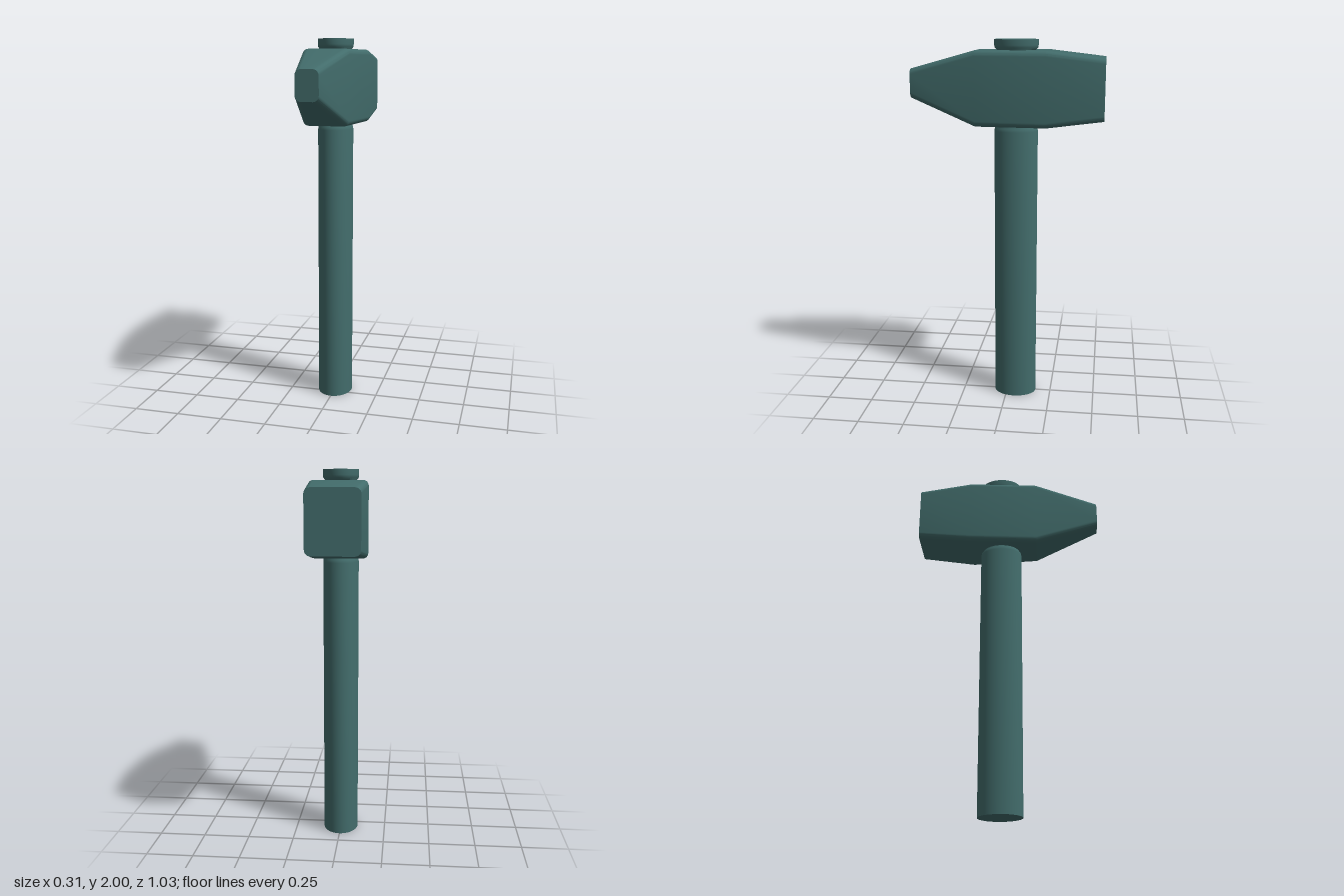
import * as THREE from 'three';
import { toCreasedNormals } from 'three/addons/utils/BufferGeometryUtils.js';

const material = new THREE.MeshStandardMaterial({ color: 0x426c6b });

// Counter-clockwise rounded rectangle outline in the xy plane
function roundedSection(halfWidth, bottom, top, radius, steps) {
  const corners = [
    [halfWidth - radius, top - radius],
    [-halfWidth + radius, top - radius],
    [-halfWidth + radius, bottom + radius],
    [halfWidth - radius, bottom + radius],
  ];
  const points = [];
  corners.forEach(([cx, cy], q) => {
    for (let i = 0; i <= steps; i++) {
      const a = (q + i / steps) * Math.PI / 2;
      points.push([cx + radius * Math.cos(a), cy + radius * Math.sin(a)]);
    }
  });
  return points;
}

// Skin a row of sections from back to front, closed at both ends
function loft(sections) {
  const positions = [], indices = [];
  const rings = sections.map(([z, hw, bottom, top]) =>
    roundedSection(hw, bottom, top, 0.03, 6).map(([x, y]) => [x, y, z]));
  const n = rings[0].length;
  rings.forEach(ring => ring.forEach(p => positions.push(...p)));
  for (let r = 0; r < rings.length - 1; r++) {
    for (let i = 0; i < n; i++) {
      const j = (i + 1) % n, a = r * n, b = a + n;
      indices.push(a + i, a + j, b + j, a + i, b + j, b + i);
    }
  }
  const last = (rings.length - 1) * n;
  for (let i = 1; i < n - 1; i++) {
    indices.push(0, i + 1, i);
    indices.push(last, last + i, last + i + 1);
  }
  const geometry = new THREE.BufferGeometry();
  geometry.setAttribute('position', new THREE.Float32BufferAttribute(positions, 3));
  geometry.setIndex(indices);
  return toCreasedNormals(geometry, 0.28);
}

export function createModel() {
  const group = new THREE.Group();
  group.name = 'hammer';

  // Head: z, half width, bottom, top
  const head = new THREE.Mesh(loft([
    [-0.517, 0.137, 1.587, 1.91],
    [-0.215, 0.155, 1.55, 1.945],
    [0.16, 0.125, 1.55, 1.945],
    [0.517, 0.06, 1.692, 1.846],
  ]), material);
  head.name = 'head';
  group.add(head);

  // Oval handle, necked where it passes through the head
  const profile = [
    [0, 0], [0.095, 0], [0.095, 1.52], [0.093, 1.535], [0.084, 1.55],
    [0.084, 1.945], [0.093, 1.957], [0.095, 1.97], [0.095, 2], [0, 2],
  ].map(([r, y]) => new THREE.Vector2(r, y));
  const handleGeometry = new THREE.LatheGeometry(profile, 48);
  handleGeometry.scale(1, 1, 1.235);
  handleGeometry.translate(0, 0, -0.047);
  const handle = new THREE.Mesh(toCreasedNormals(handleGeometry, 0.7), material);
  handle.name = 'handle';
  group.add(handle);

  return group;
}
